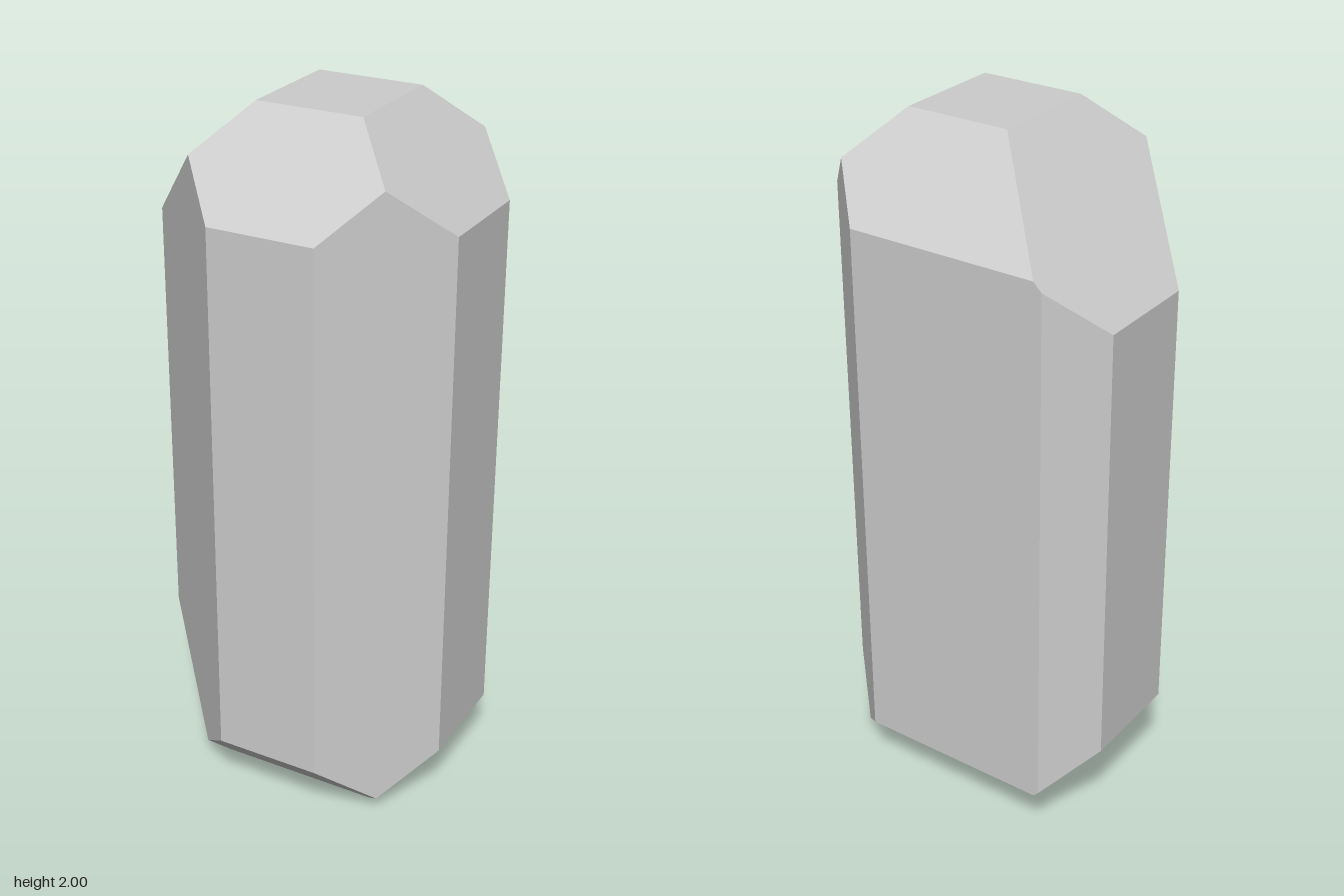
import * as THREE from 'three';

// Each facet is a cutting plane: nx*x + ny*y + nz*z <= d
const FACETS = [
  // upright sides
  [1, 0, 0, 0.485], [-1, 0, 0, 0.485], [0, 0, 1, 0.417], [0, 0, -1, 0.42],
  [1, 0, 1, 0.64], [1, 0, -1, 0.642], [-1, 0, 1, 0.5], [-1, 0, -1, 0.78],
  // top face and its bevels
  [0, 1, 0, 2], [1, 1, 0, 2.22], [-1, 1, 0, 2.086], [0, 1, 1, 2.161], [0, 1, -1, 2.17],
  // bottom face and its bevels
  [0, -1, 0, 0], [1, -1, 0, 0.305], [-1, -1, 0, 0.165], [0, -1, 1, 0.238], [0, -1, -1, 0.24],
];

// Point where three planes meet, or null if they do not
function meet(a, b, c) {
  const bc = b.n.clone().cross(c.n);
  const det = a.n.dot(bc);
  if (Math.abs(det) < 1e-6) return null;
  return bc.multiplyScalar(a.d)
    .addScaledVector(c.n.clone().cross(a.n), b.d)
    .addScaledVector(a.n.clone().cross(b.n), c.d)
    .divideScalar(det);
}

// Solid bounded by the planes, one flat polygon per plane
function cutSolid(facets) {
  const planes = facets.map(([x, y, z, d]) => ({ n: new THREE.Vector3(x, y, z), d }));
  const corners = [];
  for (let i = 0; i < planes.length; i++)
    for (let j = i + 1; j < planes.length; j++)
      for (let k = j + 1; k < planes.length; k++) {
        const p = meet(planes[i], planes[j], planes[k]);
        if (p && planes.every((q) => q.n.dot(p) <= q.d + 1e-6)
          && !corners.some((q) => q.distanceTo(p) < 1e-5)) corners.push(p);
      }

  const positions = [];
  for (const { n, d } of planes) {
    const ring = corners.filter((p) => Math.abs(n.dot(p) - d) < 1e-5);
    if (ring.length < 3) continue;
    // order the corners counter-clockwise around the facet normal
    const mid = ring.reduce((s, p) => s.add(p), new THREE.Vector3()).divideScalar(ring.length);
    const u = ring[0].clone().sub(mid).normalize();
    const v = n.clone().normalize().cross(u);
    const angle = (p) => {
      const r = p.clone().sub(mid);
      return Math.atan2(r.dot(v), r.dot(u));
    };
    ring.sort((p, q) => angle(p) - angle(q));
    for (let i = 1; i < ring.length - 1; i++)
      for (const p of [ring[0], ring[i], ring[i + 1]]) positions.push(p.x, p.y, p.z);
  }
  const geometry = new THREE.BufferGeometry();
  geometry.setAttribute('position', new THREE.Float32BufferAttribute(positions, 3));
  geometry.computeVertexNormals();
  return geometry;
}

export function createModel() {
  const group = new THREE.Group();
  group.name = 'crystal';
  const material = new THREE.MeshStandardMaterial({ color: 0xcccccc, flatShading: true });
  const body = new THREE.Mesh(cutSolid(FACETS), material);
  body.name = 'crystalBody';
  group.add(body);
  return group;
}
